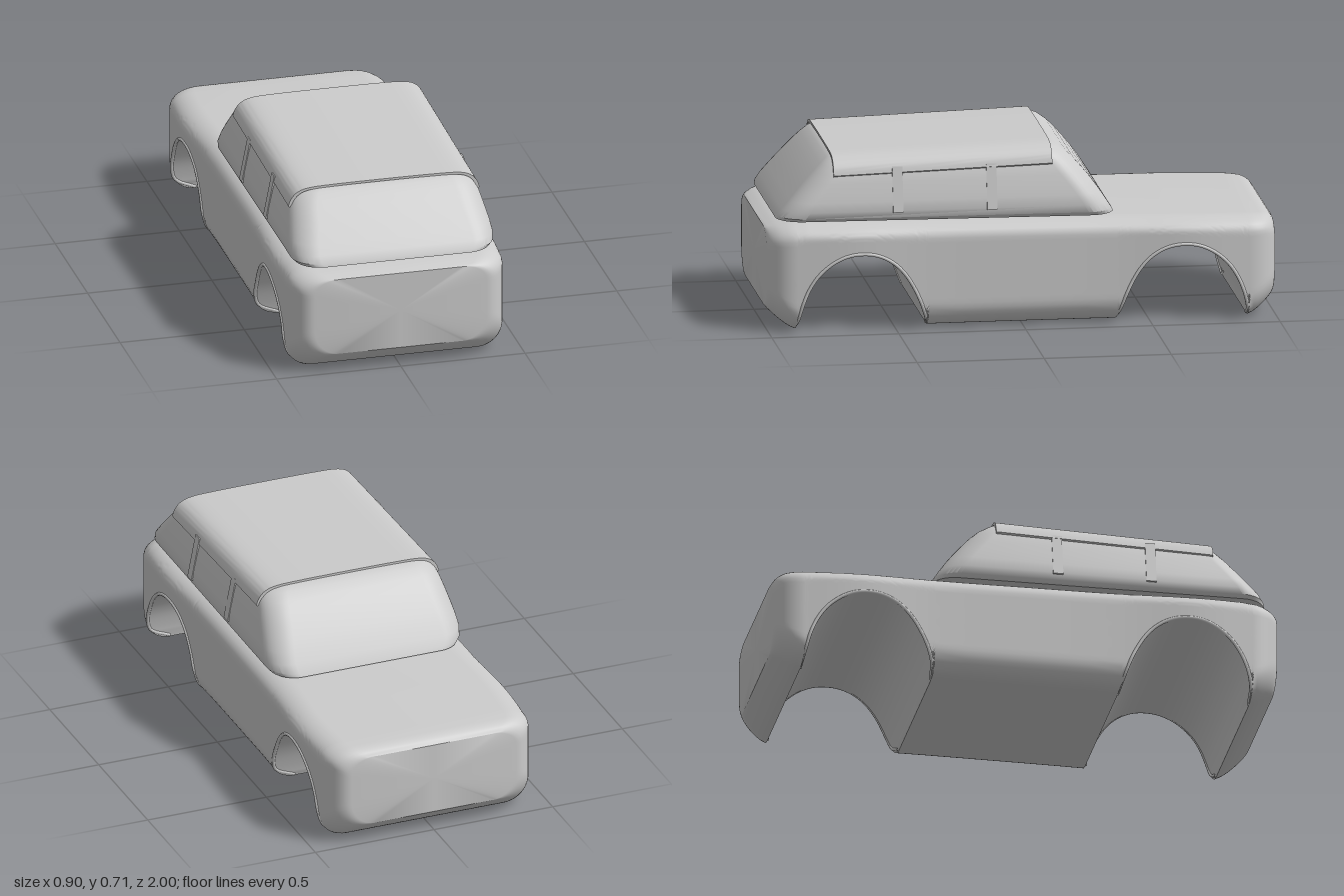
import * as THREE from 'three';
import { toCreasedNormals } from 'three/addons/utils/BufferGeometryUtils.js';

const material = new THREE.MeshStandardMaterial({ color: 0xcccccc, side: THREE.DoubleSide });

function addPart(group, name, geometry) {
  const mesh = new THREE.Mesh(geometry, material);
  mesh.name = name;
  group.add(mesh);
  return mesh;
}

// Skin a list of equal-length closed rings and cap both ends
function loft(rings) {
  const n = rings[0].length, pos = rings.flat(2), index = [];
  for (let i = 0; i < rings.length - 1; i++) {
    for (let j = 0; j < n; j++) {
      const k = (j + 1) % n;
      const a = i * n + j, b = i * n + k, c = a + n, d = b + n;
      index.push(a, c, b, b, c, d);
    }
  }
  [0, rings.length - 1].forEach((i) => {
    const ring = rings[i], centre = pos.length / 3;
    for (let c = 0; c < 3; c++) pos.push(ring.reduce((s, p) => s + p[c], 0) / n);
    for (let j = 0; j < n; j++) {
      const a = i * n + j, b = i * n + (j + 1) % n;
      index.push(centre, i ? b : a, i ? a : b);
    }
  });
  const g = new THREE.BufferGeometry();
  g.setAttribute('position', new THREE.Float32BufferAttribute(pos, 3));
  g.setIndex(index);
  return toCreasedNormals(g, 0.6);
}

// Linear lookup in a table of [input, output] rows
function lookup(table, v) {
  for (let i = 1; i < table.length; i++) {
    const [a, p] = table[i - 1], [b, q] = table[i];
    if (v <= b) return p + (q - p) * Math.max(0, (v - a) / (b - a));
  }
  return table[table.length - 1][1];
}

const END = 0.89; // where the wheel arch meets the bumper
const topLine = [[-1, 0.372], [-0.985, 0.39], [-0.96, 0.4], [-0.9, 0.404], [-0.6, 0.411], [-0.37, 0.415],
  [0, 0.419], [0.85, 0.425], [0.91, 0.421], [0.96, 0.41], [1, 0.395]];

// Half width of the body at a station, with swollen fenders and rounded ends
function halfWidth(z) {
  const u = Math.abs(z), d = Math.max(0, (u - END) / 0.11);
  return 0.428 + 0.016 * Math.exp(-(((u - 0.68) / 0.22) ** 2)) - 0.085 * (1 - Math.sqrt(Math.max(0, 1 - d * d)));
}

// Side surface of the body at height y
function sideX(y, z, floor) {
  const top = lookup(topLine, z);
  const arc = (t) => 1 - Math.sqrt(Math.max(0, 1 - Math.min(1, Math.max(0, t)) ** 2));
  return halfWidth(z) - 0.1 * arc((floor + 0.1 - y) / 0.1) - 0.1 * arc((y - top + 0.06) / 0.06);
}

function bodyRing([z, bottom]) {
  const floor = Math.abs(z) > END ? bottom : 0;
  const top = lookup(topLine, z), half = [], steps = 28;
  for (let i = 0; i <= steps; i++) {
    const y = bottom + (top - bottom) * (1 - Math.cos(Math.PI * i / steps)) / 2;
    half.push([sideX(y, z, floor), y, z]);
  }
  const mirrored = half.map(([x, y, w]) => [-x, y, w]).reverse();
  return [[0, bottom, z], ...half, [0, top, z], ...mirrored];
}

// Wheel arch outline as z and height
const arch = new THREE.SplineCurve([[0.89, 0], [0.88, 0.06], [0.855, 0.14], [0.81, 0.215], [0.75, 0.268], [0.69, 0.295],
  [0.635, 0.302], [0.58, 0.295], [0.52, 0.268], [0.465, 0.215], [0.42, 0.14], [0.388, 0.06], [0.37, 0]]
  .map((p) => new THREE.Vector2(...p))).getPoints(48).map((p) => [p.x, Math.max(0, p.y)]);

function bodyGeometry() {
  const half = [];
  for (let i = 0; i < 10; i++) {
    const s = Math.cos(i / 10 * Math.PI / 2);
    half.push([END + 0.11 * s, 0.08 * s ** 1.3]);
  }
  half.push(...arch, [0.25, 0], [0.12, 0]);
  const back = half.map(([z, y]) => [-z, y]).reverse();
  return loft([...half, [0, 0], ...back].map(bodyRing));
}

// Cabin levels: height, half width, front z, back z, corner radius
const cabinLevels = [
  [0.422, 0.365, 0.94, -0.35, 0.08], [0.425, 0.39, 0.958, -0.37, 0.1], [0.44, 0.404, 0.953, -0.362, 0.1],
  [0.47, 0.41, 0.934, -0.342, 0.1], [0.51, 0.405, 0.904, -0.315, 0.1], [0.55, 0.397, 0.874, -0.285, 0.1],
  [0.59, 0.389, 0.842, -0.252, 0.1], [0.63, 0.379, 0.808, -0.217, 0.095], [0.66, 0.367, 0.78, -0.186, 0.09],
  [0.685, 0.347, 0.754, -0.153, 0.08], [0.698, 0.322, 0.735, -0.127, 0.07], [0.705, 0.28, 0.7, -0.08, 0.06]];

function cabinRing([y, hw, front, back, r]) {
  const ring = [], t = (y - 0.422) / 0.283;
  const slope = 0.008 - 0.037 * t; // roof falls and base rises toward +z
  [[1, 1], [-1, 1], [-1, -1], [1, -1]].forEach(([sx, sz], q) => {
    for (let i = 0; i <= 9; i++) {
      const a = (q + i / 9) * Math.PI / 2;
      const z = (sz > 0 ? front - r : back + r) + r * Math.sin(a);
      ring.push([sx * (hw - r) + r * Math.cos(a), y + slope * (z + 0.1), z]);
    }
  });
  return ring;
}

// Thin curved roof skin with its lip
function roofGeometry() {
  const right = [[0.385, 0.636], [0.373, 0.666], [0.347, 0.692], [0.3, 0.706], [0.2, 0.71]];
  const pts = [...right, [0, 0.711], ...right.map(([x, y]) => [-x, y]).reverse()];
  const outer = new THREE.SplineCurve(pts.map((p) => new THREE.Vector2(...p))).getPoints(50);
  const inner = outer.map((p) => new THREE.Vector2(p.x * 0.975, p.y - 0.009)).reverse();
  const g = new THREE.ExtrudeGeometry(new THREE.Shape([...outer, ...inner]), { depth: 0.86, steps: 8, bevelEnabled: false });
  g.translate(0, 0, -0.12);
  const p = g.attributes.position;
  for (let i = 0; i < p.count; i++) p.setY(i, p.getY(i) - 0.029 * (p.getZ(i) + 0.1));
  return toCreasedNormals(g, 0.6);
}

export function createModel() {
  const model = new THREE.Group();
  model.name = 'carBody';
  addPart(model, 'lowerBody', bodyGeometry());
  addPart(model, 'cabin', loft(cabinLevels.map(cabinRing)));
  addPart(model, 'roof', roofGeometry());

  for (const side of [1, -1]) {
    // Rolled lips around the wheel arches
    for (const end of [1, -1]) {
      const path = arch.filter((p, i) => i % 3 === 0)
        .map(([z, y]) => new THREE.Vector3(side * (sideX(y, end * z, 0) - 0.001), y + 0.006, end * z));
      addPart(model, 'archLip', new THREE.TubeGeometry(new THREE.CatmullRomCurve3(path), 60, 0.007, 8));
    }
    // Pillars between the side windows
    for (const z of [0.12, 0.49]) {
      const pillar = addPart(model, 'pillar', new THREE.BoxGeometry(0.012, 0.18, 0.04));
      pillar.position.set(side * 0.393, 0.552, z);
      pillar.rotation.z = side * 0.19;
    }
  }
  return model;
}
